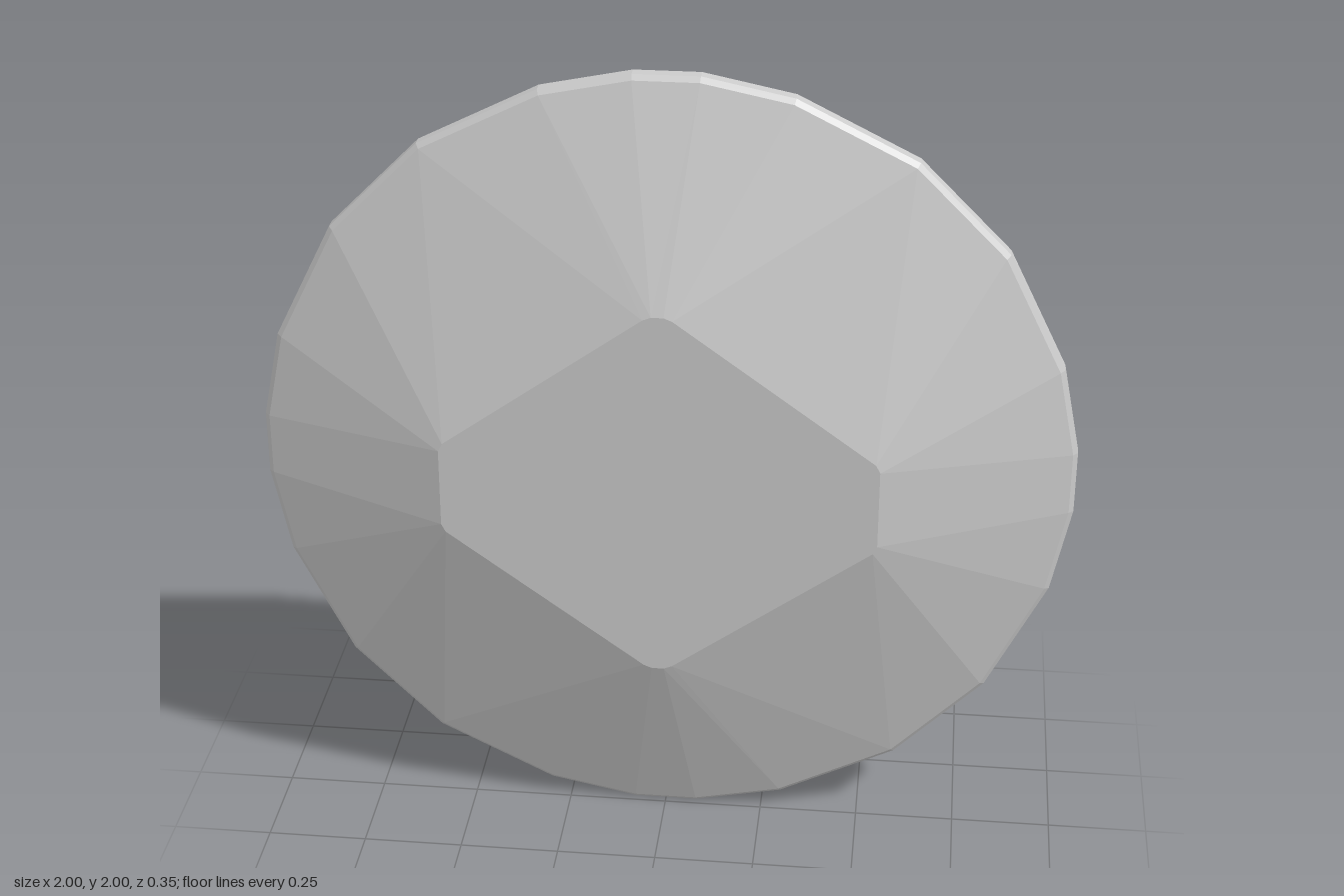
import * as THREE from 'three';
import { ConvexGeometry } from 'three/addons/geometries/ConvexGeometry.js';

// One quadrant of the girdle outline and of the front table's blunted corners
const RIM = [[1, 0.08], [0.955, 0.3], [0.81, 0.59], [0.59, 0.81], [0.3, 0.955], [0.08, 1]];
const TABLE = [[0.53, 0.1], [0.52, 0.12], [0.035, 0.47], [0.015, 0.478]];

// Mirror a quadrant into a full ring at depth z
function ring(quadrant, scale, z) {
  const points = [];
  for (const sx of [1, -1]) {
    for (const sy of [1, -1]) {
      for (const [x, y] of quadrant) {
        points.push(new THREE.Vector3(sx * x * scale, 1 + sy * y * scale, z));
      }
    }
  }
  return points;
}

export function createModel() {
  const group = new THREE.Group();
  group.name = 'facetedGem';

  // Convex cut stone: table, chamfered girdle, bevelled flat back
  const geometry = new ConvexGeometry([
    ...ring(TABLE, 1, 0.175),
    ...ring(RIM, 0.988, -0.008),
    ...ring(RIM, 1, -0.02),
    ...ring(RIM, 1, -0.05),
    ...ring(RIM, 0.985, -0.06),
    ...ring(RIM, 0.76, -0.175),
  ]);
  const material = new THREE.MeshStandardMaterial({ color: 0xcccccc, flatShading: true });
  const gem = new THREE.Mesh(geometry, material);
  gem.name = 'gem';
  group.add(gem);
  return group;
}
